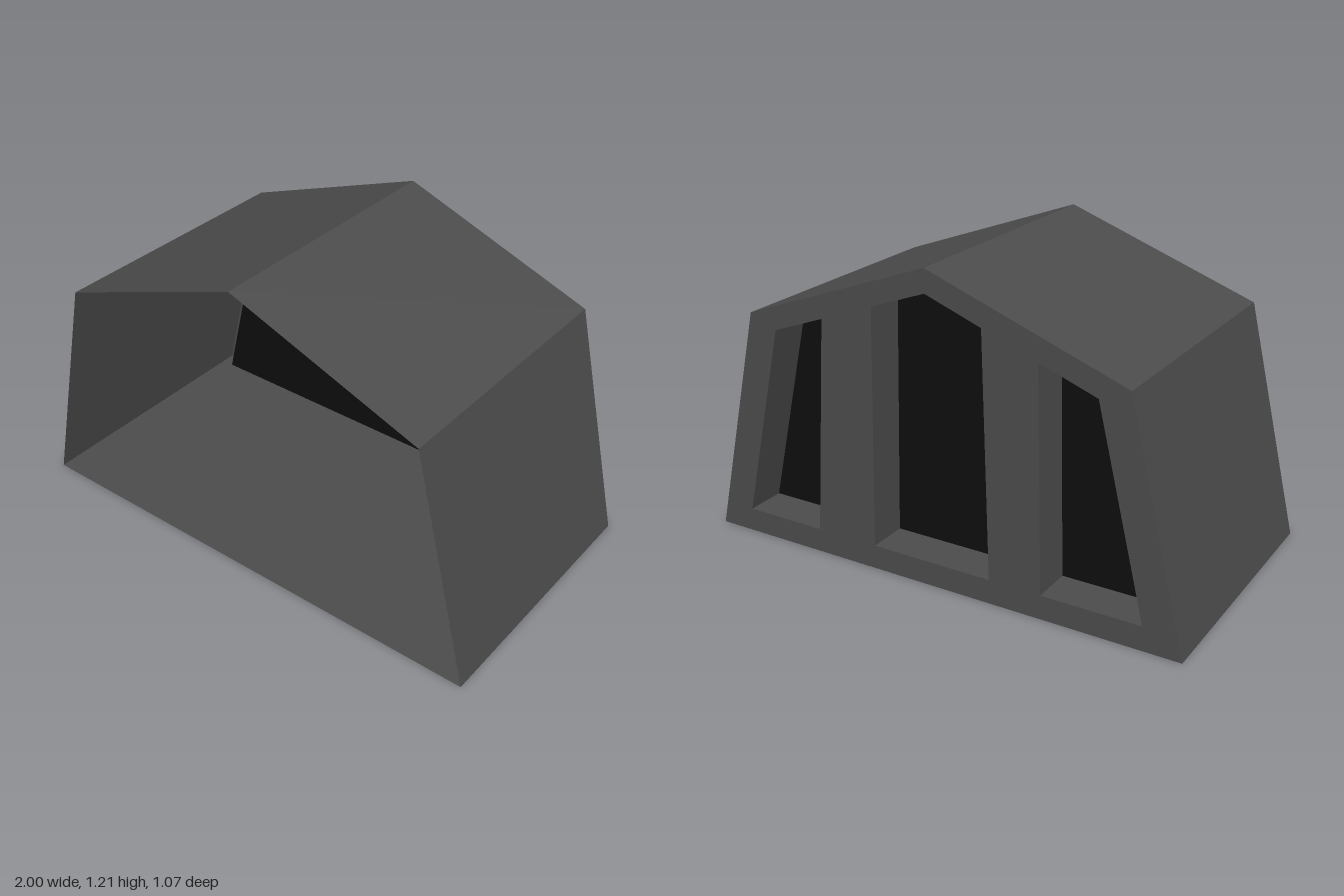
import * as THREE from 'three';

const grey = new THREE.MeshStandardMaterial({ color: 0x4c4c4c, side: THREE.DoubleSide });
grey.name = 'dark grey shell';
const black = new THREE.MeshStandardMaterial({ color: 0x0e0e0e, side: THREE.DoubleSide });
black.name = 'black glass';

const BACK = -0.535, FRONT = 0.535, GLASS = -0.373;

// Outlines run counter-clockwise seen from the front
const outer = [[-1, 0], [1, 0], [0.78, 0.925], [0, 1.21], [-0.78, 0.925]];
const inner = [[-0.85, 0.095], [0.85, 0.095], [0.665, 0.875], [0, 1.12], [-0.665, 0.875]];
const windows = {
  leftWindow: [[0.51, 0.095], [0.85, 0.095], [0.665, 0.875], [0.447, 0.955]],
  centreWindow: [[-0.25, 0.095], [0.25, 0.095], [0.225, 1.037], [0, 1.12], [-0.225, 1.037]],
  rightWindow: [[-0.85, 0.095], [-0.46, 0.095], [-0.442, 0.957], [-0.665, 0.875]],
};

const toPoints = (pts) => pts.map(([x, y]) => new THREE.Vector2(x, y));

// Open-ended tube of flat walls along an outline
function walls(pts, z0, z1) {
  const pos = [];
  pts.forEach(([ax, ay], i) => {
    const [bx, by] = pts[(i + 1) % pts.length];
    pos.push(ax, ay, z0, bx, by, z0, bx, by, z1, ax, ay, z0, bx, by, z1, ax, ay, z1);
  });
  const g = new THREE.BufferGeometry();
  g.setAttribute('position', new THREE.Float32BufferAttribute(pos, 3));
  g.computeVertexNormals();
  return g;
}

function add(group, name, geometry, material) {
  const mesh = new THREE.Mesh(geometry, material);
  mesh.name = name;
  group.add(mesh);
  return mesh;
}

export function createModel() {
  const model = new THREE.Group();
  model.name = 'windowHood';

  // Floor, sides and gabled roof, open at the front
  add(model, 'shell', walls(outer, BACK, FRONT), grey);

  // Back wall with three window openings
  const wall = new THREE.Shape(toPoints(outer));
  for (const pts of Object.values(windows)) {
    wall.holes.push(new THREE.Path(toPoints(pts).reverse()));
  }
  add(model, 'backWall', new THREE.ShapeGeometry(wall), grey).position.z = BACK;

  // Window reveals running in to the glass
  for (const [name, pts] of Object.entries(windows)) {
    add(model, name + 'Reveal', walls(pts, BACK, GLASS), grey);
  }

  // One dark pane behind all the windows
  add(model, 'glass', new THREE.ShapeGeometry(new THREE.Shape(toPoints(inner))), black).position.z = GLASS;

  return model;
}
